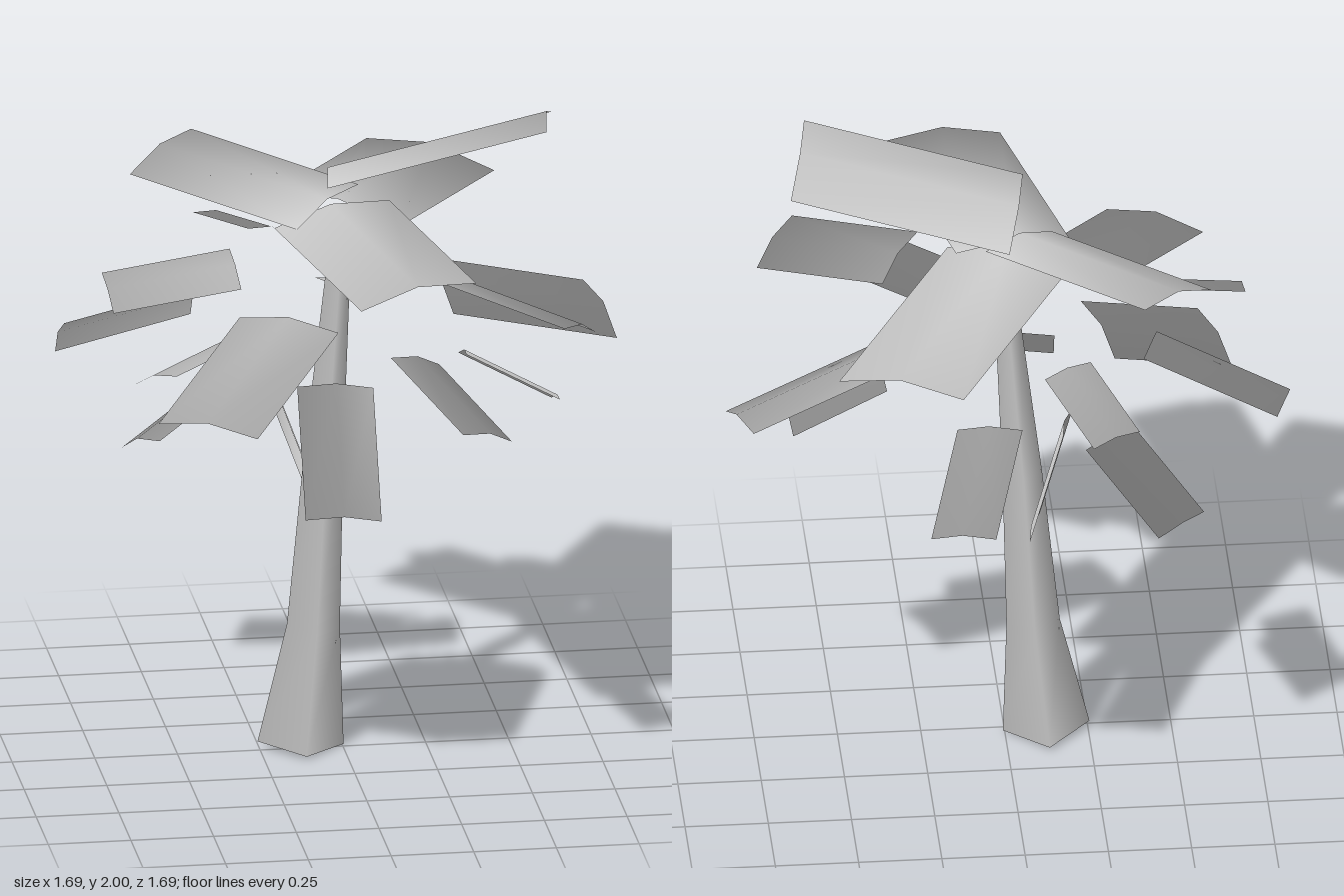
import * as THREE from 'three';

const material = new THREE.MeshStandardMaterial({ color: 0xcccccc, side: THREE.DoubleSide });

// Trunk rings from bottom to top: centre x, y, centre z, radius
const RINGS = [
  [-0.125, 0.011, -0.02, 0.13],
  [-0.085, 0.38, -0.028, 0.08],
  [-0.05, 0.92, -0.052, 0.059],
  [-0.004, 1.473, -0.077, 0.037],
  [-0.004, 1.5, -0.077, 0],
];

// Middle of the crown; the foliage is shaded as one round mass about it
const CROWN = new THREE.Vector3(0, 1.45, 0);

// Each leaf: two inner corners, then the outer corner that follows the first one
const UPPER_LEAVES = [
  [0, 1.765, -0.2, -0.07, 1.828, 0.16, 0.65, 1.938, -0.12],
  [0.065, 1.735, -0.125, -0.15, 1.673, 0.08, -0.375, 1.777, -0.575],
  [-0.21, 1.66, 0.02, 0.15, 1.7, -0.07, -0.05, 1.635, 0.73],
  [-0.19, 1.7, -0.17, 0.165, 1.655, 0.045, 0.19, 1.635, -0.815],
];
const MIDDLE_LEAVES = [
  [-0.4, 1.4, -0.23, -0.455, 1.38, -0.04, -0.79, 1.256, -0.36],
  [-0.33, 1.565, -0.085, -0.32, 1.496, 0.09, -0.72, 1.517, -0.06],
  [-0.225, 1.508, -0.415, -0.085, 1.475, -0.45, -0.345, 1.453, -0.74],
  [-0.335, 1.43, 0.155, -0.06, 1.425, 0.32, -0.655, 1.29, 0.675],
  [0.235, 1.565, 0.29, 0.355, 1.49, 0.12, 0.59, 1.485, 0.55],
  [0.27, 1.453, -0.255, 0.33, 1.365, 0.03, 0.785, 1.3, -0.4],
];
const LOWER_LEAVES = [
  [-0.36, 1.195, -0.26, -0.215, 1.175, -0.37, -0.56, 1.008, -0.48],
  [-0.25, 1.335, 0.23, -0.335, 1.25, 0.03, -0.62, 1.157, 0.455],
  [0.085, 1.37, 0.41, 0.245, 1.31, 0.32, 0.25, 1.247, 0.785],
  [0.36, 1.257, 0.095, 0.355, 1.215, -0.045, 0.64, 1.105, 0.11],
  [-0.17, 1.225, 0.22, 0.06, 1.21, 0.22, -0.2, 0.935, 0.6],
  [-0.015, 1.32, -0.48, 0.175, 1.295, -0.42, 0.095, 1.165, -0.85],
  [-0.21, 1.085, 0.03, -0.17, 1.065, -0.1, -0.1, 0.79, -0.085],
];

// Four-sided trunk: a unit cylinder whose rows are moved onto the rings
function makeTrunk() {
  const geometry = new THREE.CylinderGeometry(1, 1, 1, 4, RINGS.length - 1, true);
  const p = geometry.attributes.position;
  for (let i = 0; i < p.count; i++) {
    const [cx, cy, cz, r] = RINGS[Math.round((p.getY(i) + 0.5) * (RINGS.length - 1))];
    const x = p.getX(i) * r, z = p.getZ(i) * r;
    p.setXYZ(i, cx + x, cy - 0.08 * x, cz + z);
  }
  const trunk = new THREE.Mesh(geometry, material);
  trunk.name = 'trunk';
  return trunk;
}

// A leaf is a rectangle arched along its middle rib, with normals leading out of the crown
function makeLeaf(numbers) {
  const [a, b, c] = [0, 3, 6].map((i) => new THREE.Vector3().fromArray(numbers, i));
  const across = b.clone().sub(a);
  const along = c.clone().sub(a);
  const up = along.clone().cross(across).normalize();
  const flip = up.y < 0;
  if (flip) up.negate();
  const points = [];
  for (const end of [0, 1]) {
    for (const side of [0, 0.5, 1]) {
      const point = a.clone().addScaledVector(along, end).addScaledVector(across, side);
      if (side === 0.5) point.addScaledVector(up, 0.09 * across.length());
      points.push(point);
    }
  }
  const normals = points.flatMap((point) => point.clone().sub(CROWN).normalize().toArray());
  const index = [0, 3, 1, 1, 3, 4, 1, 4, 2, 2, 4, 5];
  if (flip) index.reverse();
  const geometry = new THREE.BufferGeometry().setFromPoints(points);
  geometry.setAttribute('normal', new THREE.Float32BufferAttribute(normals, 3));
  geometry.setIndex(index);
  const leaf = new THREE.Mesh(geometry, material);
  leaf.name = 'leaf';
  return leaf;
}

function makeTier(name, rows) {
  const tier = new THREE.Group();
  tier.name = name;
  rows.forEach((row) => tier.add(makeLeaf(row)));
  return tier;
}

export function createModel() {
  const tree = new THREE.Group();
  tree.name = 'palmTree';
  tree.add(
    makeTrunk(),
    makeTier('upperLeaves', UPPER_LEAVES),
    makeTier('middleLeaves', MIDDLE_LEAVES),
    makeTier('lowerLeaves', LOWER_LEAVES),
  );
  return tree;
}
